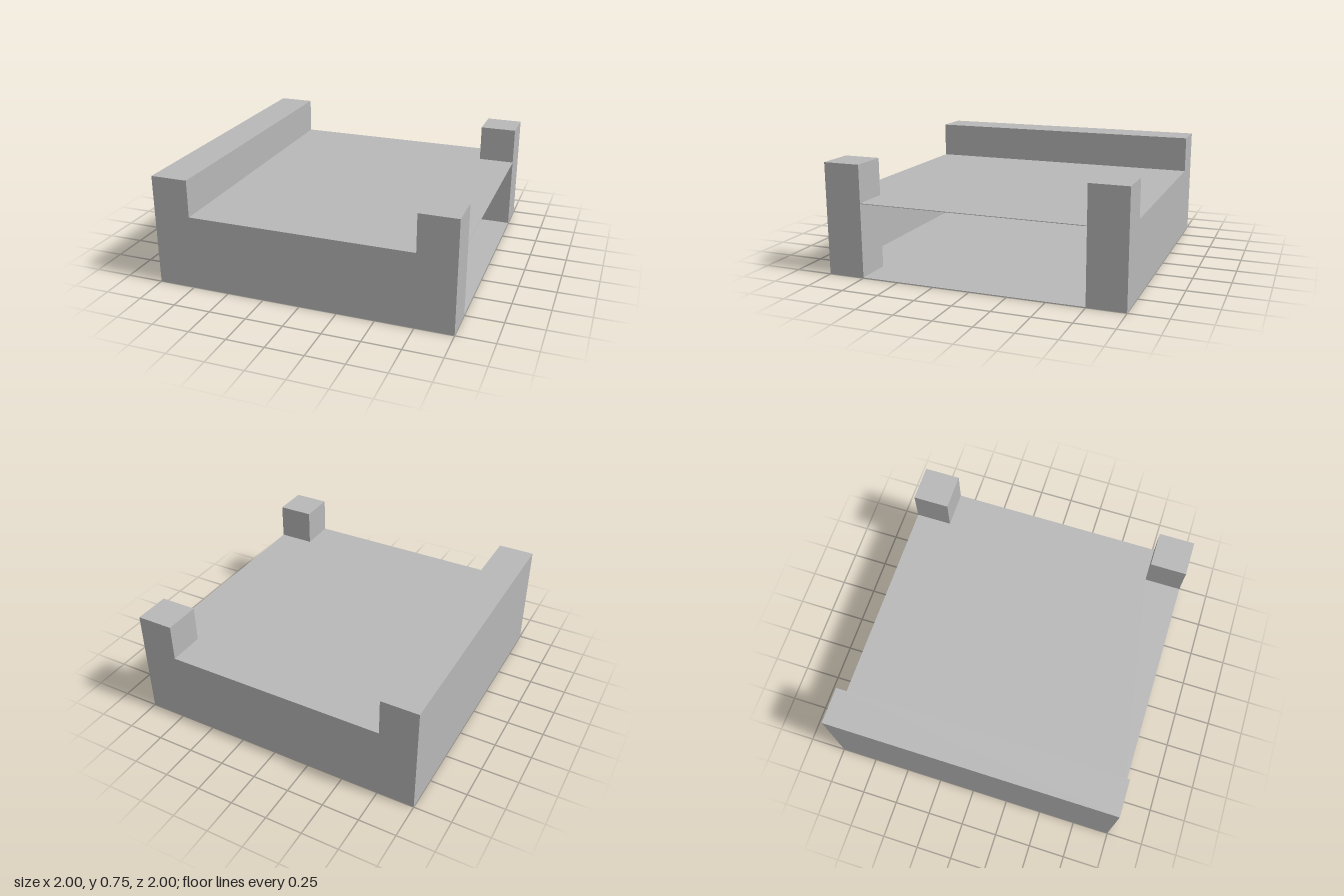
import * as THREE from 'three';

export function createModel() {
  const model = new THREE.Group();
  model.name = 'platform';
  const grey = new THREE.MeshStandardMaterial({ color: 0xb8b8b8 });
  grey.name = 'plain grey';
  const T = 0.004; // thickness of the thin panels

  const add = (name, geometry, x, y, z) => {
    const mesh = new THREE.Mesh(geometry, grey);
    mesh.name = name;
    mesh.position.set(x, y, z);
    model.add(mesh);
    return mesh;
  };

  // Thick wall along the right side
  add('sideWall', new THREE.BoxGeometry(0.25, 0.75, 2), -0.875, 0.375, 0);

  // Square corner posts and thin panels, mirrored front to back
  for (const [end, s] of [['front', 1], ['back', -1]]) {
    add(end + 'Post', new THREE.BoxGeometry(0.25, 0.75, 0.25), 0.875, 0.375, s * 0.875);
    add(end + 'Panel', new THREE.BoxGeometry(1.5, 0.5 - 2 * T, T), 0, 0.25, s * (1 - T / 2));
  }

  // Deck and floor: thin sheets notched around the posts, open between them
  const outline = new THREE.Shape([
    [-0.75, -1], [0.75, -1], [0.75, -0.75], [1, -0.75],
    [1, 0.75], [0.75, 0.75], [0.75, 1], [-0.75, 1],
  ].map(([x, z]) => new THREE.Vector2(x, z)));
  const sheet = new THREE.ExtrudeGeometry(outline, { depth: T, bevelEnabled: false });
  sheet.rotateX(-Math.PI / 2);
  add('deck', sheet, 0, 0.5 - T, 0);
  add('floor', sheet, 0, 0, 0);

  return model;
}
